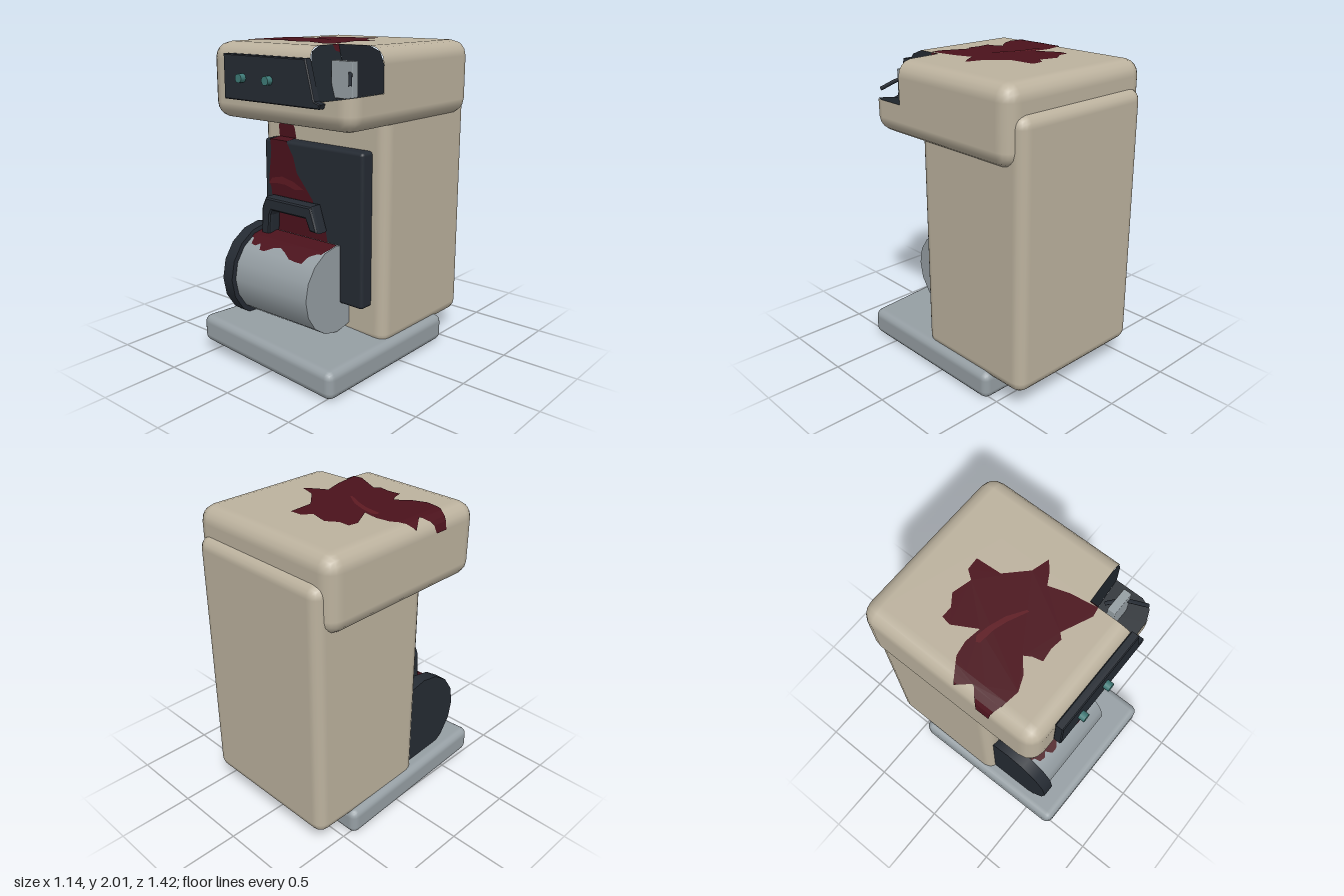
import * as THREE from 'three';
import { RoundedBoxGeometry } from 'three/addons/geometries/RoundedBoxGeometry.js';

const V = (x, y, z) => new THREE.Vector3(x, y, z);
const mat = (color, side = THREE.FrontSide) => new THREE.MeshStandardMaterial({ color, side });
const cream = mat(0xbcb29e), metal = mat(0x969fa4), dark = mat(0x252b33), teal = mat(0x3f7b78);
const lining = mat(0x20262d, THREE.DoubleSide);
const stain = mat(0x4b121c, THREE.DoubleSide), stainLight = mat(0x5e1a22, THREE.DoubleSide);

// --- small polygon helpers: a polygon is a list of { p, n } corners ---
function toPolys(geo) {
  const g = geo.index ? geo.toNonIndexed() : geo;
  const { position, normal } = g.attributes, polys = [];
  for (let i = 0; i < position.count; i += 3) {
    polys.push([0, 1, 2].map(k => ({
      p: V().fromBufferAttribute(position, i + k), n: V().fromBufferAttribute(normal, i + k),
    })));
  }
  return polys;
}

function toGeometry(polys) {
  const pos = [], nor = [];
  for (const poly of polys) {
    for (let i = 1; i < poly.length - 1; i++) {
      for (const v of [poly[0], poly[i], poly[i + 1]]) {
        pos.push(...v.p.toArray());
        nor.push(...v.n.toArray());
      }
    }
  }
  const g = new THREE.BufferGeometry();
  g.setAttribute('position', new THREE.Float32BufferAttribute(pos, 3));
  g.setAttribute('normal', new THREE.Float32BufferAttribute(nor, 3));
  return g;
}

// Splits polygons by a plane into [above, below]
function split(polys, plane) {
  const above = [], below = [];
  for (const poly of polys) {
    const a = [], b = [];
    poly.forEach((v, i) => {
      const w = poly[(i + 1) % poly.length];
      const dv = plane.distanceToPoint(v.p), dw = plane.distanceToPoint(w.p);
      (dv >= 0 ? a : b).push(v);
      if ((dv >= 0) !== (dw >= 0)) {
        const t = dv / (dv - dw);
        const m = { p: v.p.clone().lerp(w.p, t), n: v.n.clone().lerp(w.n, t).normalize() };
        a.push(m);
        b.push(m);
      }
    });
    if (a.length > 2) above.push(a);
    if (b.length > 2) below.push(b);
  }
  return [above, below];
}

// Flat outline cut along lines of constant x or y, then laid onto a surface by a rule
function drape(points, axis, cuts, rule) {
  const shape = new THREE.Shape(points.map(([x, y]) => new THREE.Vector2(x, y)));
  let polys = toPolys(new THREE.ShapeGeometry(shape));
  for (const c of cuts) polys = split(polys, new THREE.Plane(axis, -c)).flat();
  polys = polys.map(poly => poly.map(v => ({ p: rule(v.p.x, v.p.y), n: v.n })));
  const g = toGeometry(polys);
  g.computeVertexNormals();
  return g;
}

function facet(points) {
  const g = toGeometry([points.map(p => ({ p, n: V(0, 1, 0) }))]);
  g.computeVertexNormals();
  return g;
}

export function createModel() {
  const model = new THREE.Group();
  const add = (name, geo, material, x = 0, y = 0, z = 0) => {
    const m = new THREE.Mesh(geo, material);
    m.name = name;
    m.position.set(x, y, z);
    model.add(m);
    return m;
  };
  const box = (x0, x1, y0, y1, z0, z1, r, seg = 2) =>
    new RoundedBoxGeometry(x1 - x0, y1 - y0, z1 - z0, seg, r)
      .translate((x0 + x1) / 2, (y0 + y1) / 2, (z0 + z1) / 2);

  // Body and front plate
  add('body', box(-0.51, 0.51, 0.135, 1.835, -0.71, 0.16, 0.075), cream);
  add('frontPlate', box(-0.41, 0.41, 0.39, 1.375, 0.13, 0.25, 0.022), dark);

  // Tray, warped so one front corner lifts
  const tray = box(-0.55, 0.55, 0, 0.18, -0.455, 0.71, 0.05);
  const tp = tray.attributes.position;
  for (let i = 0; i < tp.count; i++) {
    const lift = 0.075 * (0.55 - tp.getX(i)) / 1.1 * (tp.getZ(i) + 0.455) / 1.165;
    tp.setY(i, tp.getY(i) + lift);
  }
  add('tray', tray, metal);

  // Head with a broken-out corner: everything inside all three planes is removed
  const wallX = y => 0.25 + (2 - y) * 0.3;
  const floorY = x => 1.7 + (x - 0.34) * 0.17;
  const backZ = x => 0.285 - (x - 0.25) * 0.06;
  const planes = [[V(1, 0.3, 0), V(0.25, 2, 0)], [V(-0.17, 1, 0), V(0.34, 1.7, 0)], [V(0.06, 0, 1), V(0.25, 0, 0.285)]]
    .map(([n, p]) => new THREE.Plane().setFromNormalAndCoplanarPoint(n.normalize(), p));
  let inside = toPolys(box(-0.567, 0.567, 1.53, 2, -0.66, 0.55, 0.1)), kept = [];
  for (const plane of planes) {
    const [above, below] = split(inside, plane);
    kept.push(...below);
    inside = above;
  }
  add('head', toGeometry(kept), cream);

  // Dark lining of the broken corner
  add('breakBack', facet([[0.25, 2], [0.467, 2], [0.538, 1.97], [0.567, 1.9], [0.567, 1.739], [0.34, 1.7]]
    .map(([x, y]) => V(x, y, backZ(x)))), lining);
  add('breakFloor', facet([[0.34, 0.28], [0.567, 0.266], [0.567, 0.45], [0.538, 0.52], [0.467, 0.55], [0.34, 0.55]]
    .map(([x, z]) => V(x, floorY(x), z))), lining);
  add('breakWall', facet([[2, 0.285], [2, 0.45], [1.97, 0.52], [1.9, 0.55], [1.7, 0.55], [1.7, 0.28]]
    .map(([y, z]) => V(wallX(y), y, z))), lining);

  // Exposed block and wire inside the break
  add('innerBlock', box(0.31, 0.465, 1.71, 1.92, 0.365, 0.417, 0.006, 1), metal);
  const wire = new THREE.CatmullRomCurve3([
    V(0.36, 1.84, 0.32), V(0.43, 1.86, 0.39), V(0.46, 1.845, 0.43), V(0.525, 1.79, 0.51)]);
  add('wire', new THREE.TubeGeometry(wire, 10, 0.012, 6), dark);

  // Control panel with a snapped end, and its buttons
  const panelShape = new THREE.Shape([[-0.38, 1.672], [0.37, 1.672], [0.378, 1.69], [0.335, 1.702], [0.275, 1.93], [-0.38, 1.93]]
    .map(([x, y]) => new THREE.Vector2(x, y)));
  add('controlPanel', new THREE.ExtrudeGeometry(panelShape, {
    depth: 0.04, bevelThickness: 0.006, bevelSize: 0.006, bevelSegments: 1,
  }), dark, 0, 0, 0.553);
  for (const x of [-0.22, 0]) {
    add('button', new THREE.CylinderGeometry(0.027, 0.027, 0.05, 12).rotateX(Math.PI / 2), teal, x, 1.8, 0.612);
  }

  // Drum and its flange, lying along x
  const cy = 0.495, cz = 0.28, r = 0.285;
  const drumPart = (name, radius, x0, x1, material) => add(name,
    new THREE.CylinderGeometry(radius, radius, x1 - x0, 16).rotateZ(Math.PI / 2),
    material, (x0 + x1) / 2, cy, cz);
  drumPart('drum', r, -0.39, 0.235, metal);
  drumPart('drumFlange', 0.318, -0.463, -0.38, dark);

  // Handle with one leg broken short
  const handle = new THREE.Shape([[-0.345, 0.765], [-0.335, 0.94], [-0.305, 1.0], [0.07, 1.0], [0.12, 0.86],
    [0.075, 0.865], [0.04, 0.94], [-0.265, 0.94], [-0.285, 0.9], [-0.295, 0.765]].map(([x, y]) => new THREE.Vector2(x, y)));
  add('handle', new THREE.ExtrudeGeometry(handle, {
    depth: 0.05, bevelThickness: 0.025, bevelSize: 0.014, bevelSegments: 2,
  }), dark, 0, 0, 0.275);

  // Stain on the head top, following its rounded side edge
  const onTop = h => (x, y) => {
    const d = Math.min(0.1, Math.max(0, -0.467 - x));
    return V(x - (d > 0.05 ? h : 0), 2 + h - 0.1 + Math.sqrt(0.01 - d * d), -y);
  };
  const X = V(1, 0, 0), Y = V(0, 1, 0), flipZ = pts => pts.map(([x, z]) => [x, -z]);
  add('topStain', drape(flipZ([
    [0.07, -0.35], [0.08, -0.19], [0.15, -0.12], [0.2, -0.07], [0.31, -0.04], [0.25, 0.01], [0.18, 0.05],
    [0.22, 0.17], [0.247, 0.34], [0.19, 0.35], [0.01, 0.27], [-0.02, 0.3], [-0.09, 0.29], [-0.175, 0.3],
    [-0.19, 0.24], [-0.215, 0.2], [-0.3, 0.27], [-0.385, 0.305], [-0.49, 0.29], [-0.567, 0.255],
    [-0.567, 0.17], [-0.495, 0.1], [-0.55, 0.01], [-0.43, -0.07], [-0.34, -0.085], [-0.24, -0.07],
    [-0.32, -0.21], [-0.31, -0.27], [-0.24, -0.27], [-0.17, -0.32], [-0.05, -0.29], [-0.01, -0.345],
  ]), X, [-0.467, -0.505, -0.538, -0.555], onTop(0.004)), stain);
  add('topStreak', drape(flipZ([
    [-0.31, -0.04], [-0.28, -0.06], [-0.2, -0.045], [-0.1, -0.01], [0, 0.055], [0, 0.07], [-0.12, 0.015], [-0.2, -0.01], [-0.3, -0.02],
  ]), X, [], onTop(0.006)), stainLight);
  add('breakDrip', facet([[2.002, 0.28], [2.002, 0.34], [1.965, 0.325], [1.955, 0.29]]
    .map(([y, z]) => V(wallX(y) + 0.004, y, z))), stain);

  // Stain running down the body and over the front plate
  const onFront = h => (x, y) => V(x, y, (y > 1.378 ? 0.16 : 0.25) + h);
  add('frontStain', drape([
    [-0.36, 1.45], [-0.34, 1.51], [-0.3, 1.53], [-0.26, 1.52], [-0.22, 1.45], [-0.2, 1.36], [-0.15, 1.28],
    [-0.12, 1.18], [-0.05, 1.1], [0.01, 1.03], [0.06, 0.92], [0.12, 0.85], [0.14, 0.76], [-0.37, 0.76],
    [-0.33, 0.9], [-0.35, 1.05], [-0.37, 1.1], [-0.345, 1.3],
  ], Y, [1.376, 1.382], onFront(0.004)), stain);
  add('frontStreak', drape([
    [-0.37, 1.08], [-0.34, 1.12], [-0.25, 1.14], [-0.15, 1.12], [-0.06, 1.08], [-0.14, 1.07], [-0.22, 1.09], [-0.3, 1.09],
  ], Y, [], onFront(0.006)), stainLight);

  // Stain dripping over the drum
  const rs = r + 0.005;
  add('drumStain', drape([
    [-0.379, cy + rs], [-0.379, 0.75], [-0.355, 0.745], [-0.34, 0.72], [-0.3, 0.715], [-0.27, 0.73], [-0.24, 0.703],
    [-0.2, 0.703], [-0.15, 0.725], [-0.1, 0.735], [-0.04, 0.72], [0.02, 0.7], [0.07, 0.695], [0.13, 0.695],
    [0.145, 0.73], [0.19, 0.75], [0.22, 0.752], [0.234, 0.77], [0.234, cy + rs],
  ], Y, [1, 2, 3].map(k => cy + rs * Math.cos(k * Math.PI / 8)), (x, y) => {
    // stay on the flat facets of the 16-sided drum
    const a = Math.acos(Math.min(1, (y - cy) / rs)), s = Math.PI / 8, k = Math.floor(a / s + 1e-4);
    const y0 = Math.cos(k * s), y1 = Math.cos((k + 1) * s), t = (y0 - (y - cy) / rs) / (y0 - y1);
    return V(x, y, cz + rs * THREE.MathUtils.lerp(Math.sin(k * s), Math.sin((k + 1) * s), t));
  }), stain);

  return model;
}
